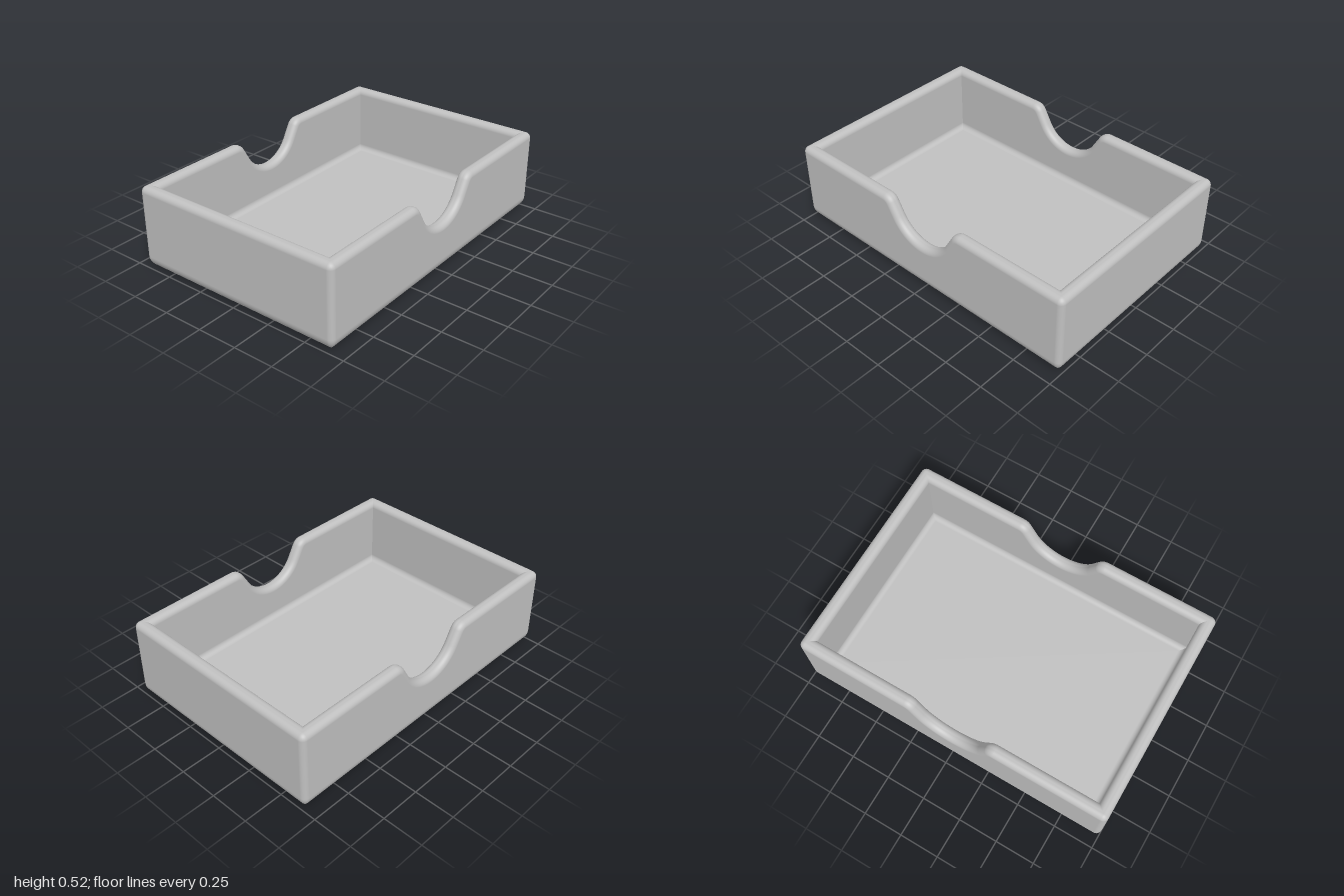
import * as THREE from 'three';

const HX = 1, HZ = 0.68, H = 0.52;      // outer half sizes and height
const WALL = 0.08, FLOOR = 0.08;        // wall and floor thickness
const R = 0.035, BASE_R = 0.08;         // rim/corner and base edge radii
const UP = new THREE.Vector3(0, 1, 0);

const steps = (n, f) => Array.from({ length: n + 1 }, (_, i) => f(i / n));

// Thumb notch rim, from +x to -x: convex fillet, slope, round bottom, mirrored
function notchPath() {
  const tilt = Math.PI / 3;
  const at = (cx, cy, r, phi) => {
    const n = new THREE.Vector3(-Math.sin(phi), Math.cos(phi), 0);
    return { x: cx + r * n.x, y: cy + r * n.y, n };
  };
  return [
    ...steps(10, (t) => at(0.289, 0.45, 0.07, tilt * t)),
    ...steps(32, (t) => at(0, 0.51, -0.21, tilt * (1 - 2 * t))),
    ...steps(10, (t) => at(-0.289, 0.45, 0.07, tilt * (t - 1))),
  ];
}

// Stations around the plan: place(d) gives the point inset by d from the outside
function makeStations() {
  const stations = [];
  const signs = [[1, 1], [-1, 1], [-1, -1], [1, -1]];
  signs.forEach(([sx, sz], k) => {
    // rounded outer corner that becomes a mitre further in
    steps(6, (t) => {
      const a = (k + t) * Math.PI / 2;
      const o = new THREE.Vector3(Math.cos(a), 0, Math.sin(a));
      stations.push({
        o, n: UP, y: H,
        place: (d) => {
          const inner = Math.max(0, d - R), round = Math.max(0, R - d);
          return [sx * (HX - R - inner) + round * o.x, sz * (HZ - R - inner) + round * o.z];
        },
      });
    });
    // notch in the front and back walls
    if (k % 2 === 0) {
      const path = sz > 0 ? notchPath() : notchPath().reverse();
      for (const p of path) {
        stations.push({
          o: new THREE.Vector3(0, 0, sz), n: p.n, y: p.y,
          place: (d, e) => [p.x - p.n.x * e, sz * (HZ - d)],
        });
      }
    }
  });
  stations.push(stations[0]);
  return stations;
}

// Wall section: d = inset, e = depth below the rim, y = fixed height,
// o / n / u = weights of outward, rim and up directions in the normal
function makeSection() {
  const q = (n, f) => steps(n, (t) => f(Math.cos(t * Math.PI / 2), Math.sin(t * Math.PI / 2)));
  return [
    ...q(10, (c, s) => ({ d: BASE_R * (1 - s), e: R, y: BASE_R * (1 - c), o: s, n: 0, u: -c })),
    ...q(8, (c, s) => ({ d: R * (1 - c), e: R * (1 - s), o: c, n: s, u: 0 })),
    ...q(8, (c, s) => ({ d: WALL - R * (1 - s), e: R * (1 - c), o: -s, n: c, u: 0 })),
    ...q(8, (c, s) => ({ d: WALL + R * (1 - c), e: R, y: FLOOR + R * (1 - s), o: -c, n: 0, u: s })),
  ];
}

function wallGeometry() {
  const stations = makeStations(), section = makeSection();
  const positions = [], normals = [], index = [];
  const m = section.length;
  stations.forEach((st, i) => {
    section.forEach((p, j) => {
      const [x, z] = st.place(p.d, p.e);
      positions.push(x, p.y ?? st.y - st.n.y * p.e, z);
      const v = new THREE.Vector3()
        .addScaledVector(st.o, p.o).addScaledVector(st.n, p.n).addScaledVector(UP, p.u).normalize();
      normals.push(v.x, v.y, v.z);
      if (i < stations.length - 1 && j < m - 1) {
        const a = i * m + j, b = a + 1, c = b + m, d = a + m;
        index.push(a, b, c, a, c, d);
      }
    });
  });
  const g = new THREE.BufferGeometry();
  g.setAttribute('position', new THREE.Float32BufferAttribute(positions, 3));
  g.setAttribute('normal', new THREE.Float32BufferAttribute(normals, 3));
  g.setIndex(index);
  return g;
}

// Flat panel inset from the outside, facing up (1) or down (-1)
function panel(inset, y, facing) {
  return new THREE.PlaneGeometry(2 * (HX - inset), 2 * (HZ - inset))
    .rotateX(-facing * Math.PI / 2)
    .translate(0, y, 0);
}

export function createModel() {
  const grey = new THREE.MeshStandardMaterial({ color: 0xc0c0c0 });
  grey.name = 'grey';
  const group = new THREE.Group();
  group.name = 'tray';
  const add = (name, geometry) => {
    const mesh = new THREE.Mesh(geometry, grey);
    mesh.name = name;
    group.add(mesh);
  };
  add('walls', wallGeometry());
  add('floor', panel(WALL + R, FLOOR, 1));
  add('underside', panel(BASE_R, 0, -1));
  return group;
}
